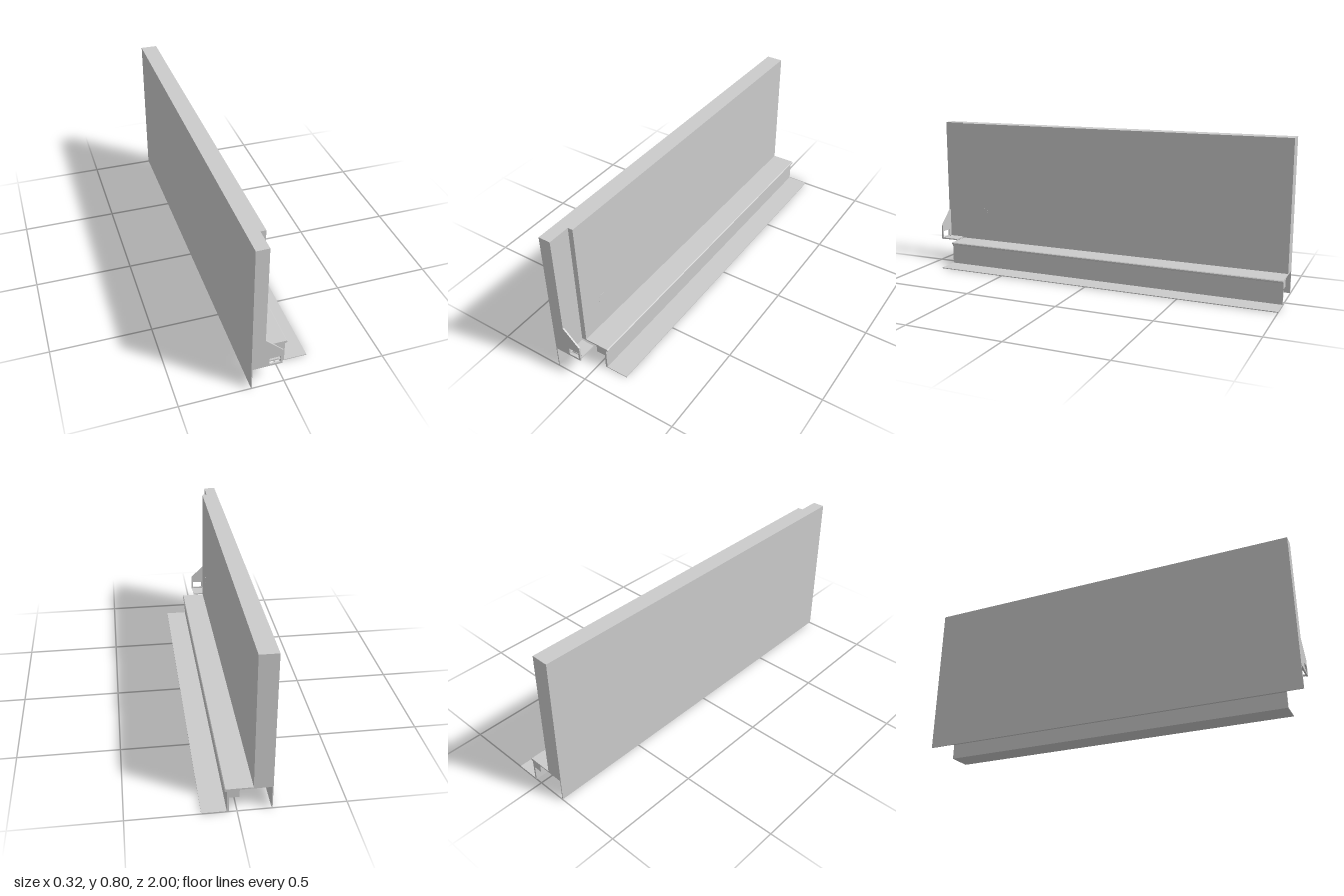
import * as THREE from 'three';

const grey = new THREE.MeshStandardMaterial({ color: 0xcccccc, flatShading: true, side: THREE.DoubleSide });

// Shape from a list of [x, y] corners
function outline(points) {
  return new THREE.Shape(points.map(([x, y]) => new THREE.Vector2(x, y)));
}

// Extrude an x-y profile between two z positions
function extrude(name, shape, z0, z1) {
  const geo = new THREE.ExtrudeGeometry(shape, { depth: z1 - z0, bevelEnabled: false, curveSegments: 6 });
  geo.translate(0, 0, z0);
  const mesh = new THREE.Mesh(geo, grey);
  mesh.name = name;
  return mesh;
}

// Box given by its limits on each axis
function box(name, [x0, x1], [y0, y1], [z0, z1]) {
  const mesh = new THREE.Mesh(new THREE.BoxGeometry(x1 - x0, y1 - y0, z1 - z0), grey);
  mesh.position.set((x0 + x1) / 2, (y0 + y1) / 2, (z0 + z1) / 2);
  mesh.name = name;
  return mesh;
}

export function createModel() {
  const model = new THREE.Group();
  model.name = 'wallPanelWithRail';
  const step = 0.885; // where the full-thickness panel and rail stop

  // Tall panel, stepped back at its front end
  const panel = outline([[-0.16, -step], [-0.072, -step], [-0.072, 1], [-0.16, 1]]);
  panel.curves.length = 0;
  const plan = outline([[-0.16, 1], [-0.072, 1], [-0.072, -step], [-0.098, -step], [-0.098, -1], [-0.16, -1]]);
  const panelGeo = new THREE.ExtrudeGeometry(plan, { depth: 0.68, bevelEnabled: false });
  panelGeo.rotateX(-Math.PI / 2);
  panelGeo.translate(0, 0.12, 0);
  const panelMesh = new THREE.Mesh(panelGeo, grey);
  panelMesh.name = 'panel';
  model.add(panelMesh);

  // Thin skirt under the outer face
  model.add(box('skirt', [-0.16, -0.155], [0.004, 0.12], [-1, 1]));

  // Sloped end bracket with a window
  const bracket = outline([[-0.098, 0.12], [-0.012, 0.12], [-0.012, 0.202], [-0.098, 0.285]]);
  bracket.holes.push(outline([[-0.076, 0.13], [-0.076, 0.166], [-0.021, 0.166], [-0.021, 0.13]]));
  model.add(extrude('endBracket', bracket, 0.992, 1));

  // Bracket shelf, slotted just behind the plate
  model.add(box('bracketShelf', [-0.085, -0.015], [0.122, 0.129], [0.9, 0.978]));
  for (const x of [-0.085, -0.022]) {
    model.add(box('shelfArm', [x, x + 0.007], [0.122, 0.129], [0.978, 0.994]));
  }

  // Rail: thin top plate, solid step, rounded lip, leg and foot
  const rail = outline([
    [-0.072, 0.12], [-0.01, 0.12], [-0.01, 0.08], [0.036, 0.08], [0.036, 0],
    [0.16, 0], [0.16, 0.004], [0.046, 0.004], [0.046, 0.114], [0.054, 0.114],
    [0.057, 0.117], [0.057, 0.123], [0.053, 0.127], [-0.072, 0.127],
  ]);
  model.add(extrude('rail', rail, -1, step));

  // Small flush disc on the inner face
  const disc = new THREE.Mesh(new THREE.CylinderGeometry(0.025, 0.025, 0.002, 24), grey);
  disc.rotation.z = Math.PI / 2;
  disc.position.set(-0.072, 0.29, 0.745);
  disc.name = 'flushDisc';
  model.add(disc);

  return model;
}
